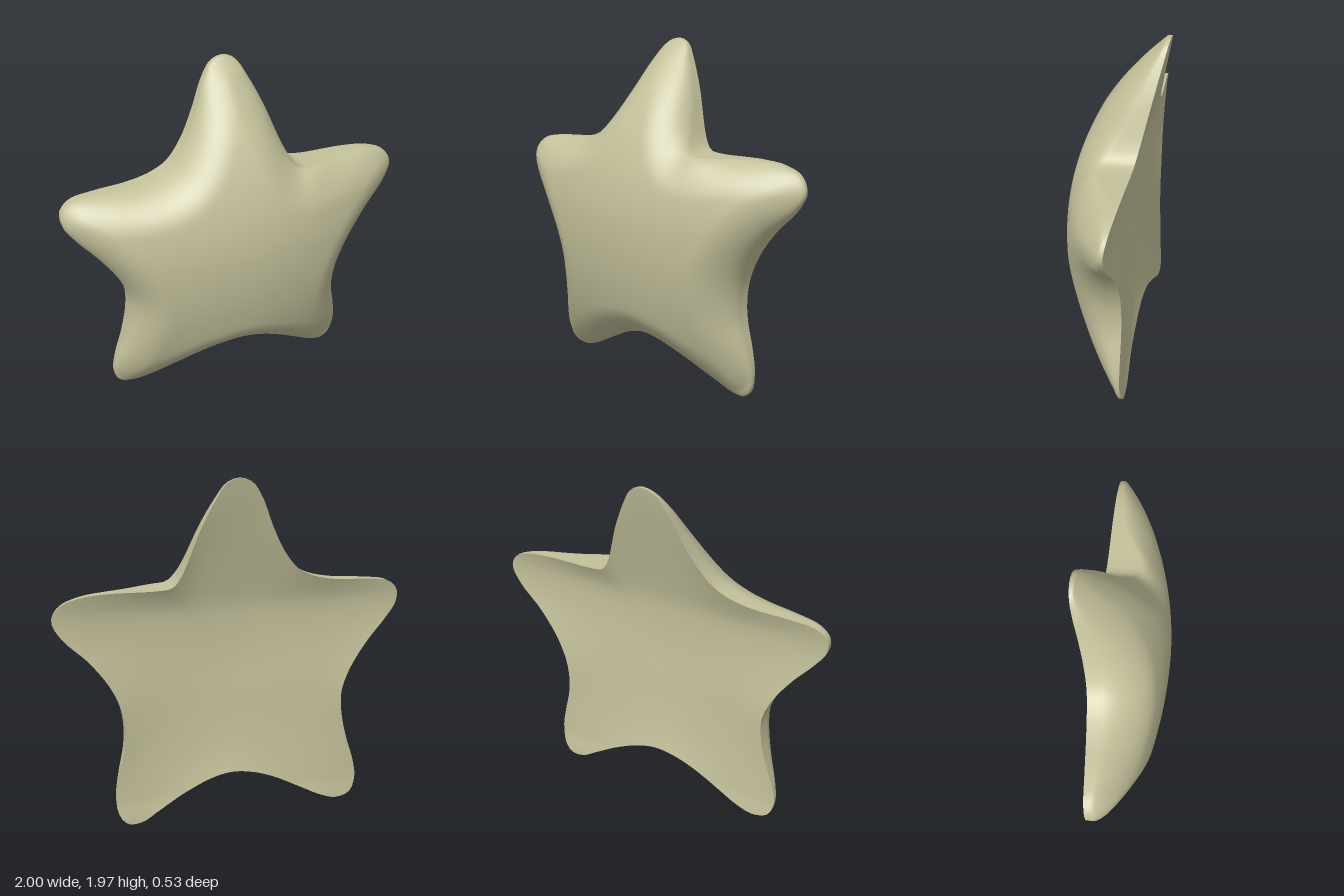
import * as THREE from 'three';

const { smoothstep, clamp } = THREE.MathUtils;
const CENTER = new THREE.Vector2(0, 0.92);
const SEGMENTS = 220;
const RINGS = 34;

// Star outline, anticlockwise from the top tip
const OUTLINE = [
  [0, 1.97], [-0.07, 1.945], [-0.13, 1.86], [-0.2, 1.7], [-0.28, 1.55], [-0.37, 1.445], [-0.47, 1.395],
  [-0.6, 1.368], [-0.8, 1.355], [-0.93, 1.335], [-0.99, 1.28], [-0.99, 1.2], [-0.93, 1.11],
  [-0.81, 0.97], [-0.71, 0.82], [-0.662, 0.69], [-0.665, 0.56], [-0.7, 0.4], [-0.75, 0.24],
  [-0.765, 0.13], [-0.73, 0.045], [-0.64, 0.02], [-0.55, 0.045], [-0.4, 0.12], [-0.24, 0.2],
  [-0.12, 0.24], [0, 0.255], [0.12, 0.232], [0.27, 0.165], [0.45, 0.06], [0.54, 0.008],
  [0.62, 0.004], [0.67, 0.06], [0.685, 0.17], [0.665, 0.3], [0.63, 0.45], [0.622, 0.56],
  [0.64, 0.69], [0.7, 0.83], [0.81, 0.98], [0.95, 1.12], [1.0, 1.22], [0.96, 1.3],
  [0.85, 1.345], [0.7, 1.36], [0.42, 1.36], [0.345, 1.372], [0.3, 1.43], [0.2, 1.7],
  [0.13, 1.85], [0.07, 1.945],
];

function sampleOutline() {
  const curve = new THREE.CatmullRomCurve3(
    OUTLINE.map(([x, y]) => new THREE.Vector3(x, y, 0)), true, 'centripetal');
  return curve.getSpacedPoints(SEGMENTS).slice(0, SEGMENTS);
}

function distanceToOutline(x, y, rim) {
  let best = Infinity;
  rim.forEach((a, i) => {
    const b = rim[(i + 1) % rim.length];
    const dx = b.x - a.x, dy = b.y - a.y;
    const k = clamp(((x - a.x) * dx + (y - a.y) * dy) / (dx * dx + dy * dy), 0, 1);
    best = Math.min(best, Math.hypot(x - a.x - k * dx, y - a.y - k * dy));
  });
  return best;
}

// Back rim: the top arm leans backwards, the right arm slightly forwards
function rimZ(x, y) {
  const lean = y - 1.25;
  const bend = 0.5 * (lean + Math.sqrt(lean * lean + 0.002));
  return -0.13 + 0.015 * smoothstep(y, 0.7, 1.2) - 0.012 * (1 - smoothstep(y, 0, 0.15))
    - 0.213 * bend + 0.025 * smoothstep(-x, 0.4, 1);
}

// Full dome height, falling at a different rate towards each side
function domeZ(x, y) {
  const h = y - 0.95;
  return 0.263 - (x < 0 ? 0.2 : 0.285) * x * x - (h < 0 ? 0.29 : 0.465) * h * h;
}

// Front surface: the dome rounded off at the outline, steeper in the right-hand notch
function frontZ(x, y, rim) {
  const base = rimZ(x, y);
  const inset = 1 - Math.min(distanceToOutline(x, y, rim) / 0.2, 1);
  const notch = Math.exp(-((x - 0.42) ** 2 + (y - 1.36) ** 2) / 0.03);
  const wall = 0.28 + 0.4 * notch;
  const full = Math.max(domeZ(x, y) - base, 0.06);
  return base + full * (wall + (1 - wall) * Math.sqrt(1 - inset * inset));
}

// Back surface: a shallow hollow that meets the rim in a narrow lip
function backZ(x, y, t) {
  const r = Math.sqrt((x - CENTER.x) ** 2 + (y - CENTER.y) ** 2 + 0.02);
  return rimZ(x, y) + 0.065 * Math.max(1 - r / 1.05, 0) * (1 - t ** 6);
}

// Joins rings growing from the centre into one smooth surface
function ringSurface(rim, heightAt, facingFront, withWall) {
  const positions = [CENTER.x, CENTER.y, heightAt(CENTER.x, CENTER.y, 0)];
  const index = [];
  const tri = (a, b, c) => (facingFront ? index.push(a, b, c) : index.push(a, c, b));
  for (let i = 1; i <= RINGS; i++) {
    const t = Math.sin((i / RINGS) * Math.PI / 2);
    for (const p of rim) {
      const x = CENTER.x + (p.x - CENTER.x) * t;
      const y = CENTER.y + (p.y - CENTER.y) * t;
      positions.push(x, y, heightAt(x, y, t));
    }
  }
  if (withWall) for (const p of rim) positions.push(p.x, p.y, rimZ(p.x, p.y));
  const loops = RINGS + (withWall ? 1 : 0);
  for (let j = 0; j < SEGMENTS; j++) {
    const k = (j + 1) % SEGMENTS;
    tri(0, 1 + j, 1 + k);
    for (let i = 0; i < loops - 1; i++) {
      const inner = 1 + i * SEGMENTS, outer = inner + SEGMENTS;
      tri(inner + j, outer + j, outer + k);
      tri(inner + j, outer + k, inner + k);
    }
  }
  const geometry = new THREE.BufferGeometry();
  geometry.setAttribute('position', new THREE.Float32BufferAttribute(positions, 3));
  geometry.setIndex(index);
  geometry.computeVertexNormals();
  return geometry;
}

export function createModel() {
  const group = new THREE.Group();
  group.name = 'star';
  const sand = new THREE.MeshStandardMaterial({ color: 0xc4c19b });
  sand.name = 'sand';
  const rim = sampleOutline();

  // Domed front with its side wall
  const front = new THREE.Mesh(ringSurface(rim, (x, y) => frontZ(x, y, rim), true, true), sand);
  front.name = 'domedFront';

  // Slightly dished back
  const back = new THREE.Mesh(ringSurface(rim, backZ, false, false), sand);
  back.name = 'dishedBack';

  group.add(front, back);
  return group;
}
